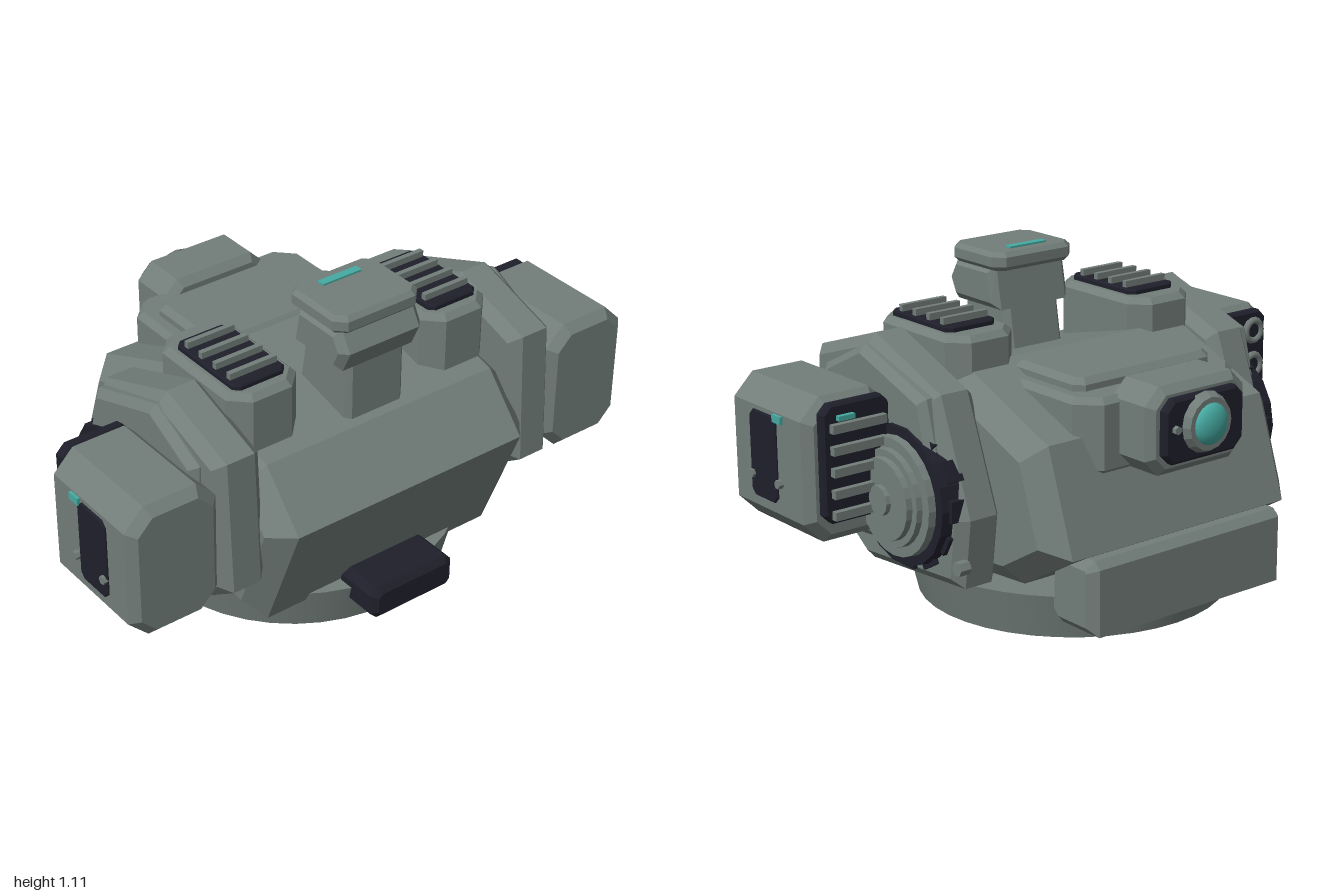
import * as THREE from 'three';

const mat = (name, color) => {
  const m = new THREE.MeshStandardMaterial({ color });
  m.name = name;
  return m;
};

export function createModel() {
  const armor = mat('armorGrey', 0x727d79);
  const dark = mat('darkTrim', 0x1f1f2b);
  const teal = mat('tealGlow', 0x46aaa2);
  const model = new THREE.Group();
  model.name = 'turret';

  const add = (parent, name, geo, material, x = 0, y = 0, z = 0) => {
    const mesh = new THREE.Mesh(geo, material);
    mesh.name = name;
    mesh.position.set(x, y, z);
    parent.add(mesh);
    return mesh;
  };
  const group = (name) => {
    const g = new THREE.Group();
    g.name = name;
    model.add(g);
    return g;
  };
  // bevelled extrusion of a polygon, centred along z
  const slab = (pts, depth, bevel) => {
    const shape = new THREE.Shape(pts.map(([a, b]) => new THREE.Vector2(a, b)));
    const inner = depth - 2 * bevel;
    const geo = new THREE.ExtrudeGeometry(shape, {
      depth: inner, bevelEnabled: bevel > 0, bevelThickness: bevel,
      bevelSize: bevel, bevelOffset: -bevel, bevelSegments: 1,
    });
    return geo.translate(0, 0, -inner / 2);
  };
  // side profile given as [z, y], extruded across x
  const profile = (pts, width, bevel) => slab(pts, width, bevel).rotateY(-Math.PI / 2);
  // box with cut corners; axis is the direction of the octagonal faces
  const chamferBox = (w, h, d, cut, bevel, axis = 'z') => {
    const [a, b, depth] = axis === 'x' ? [d, h, w] : axis === 'y' ? [w, d, h] : [w, h, d];
    const p = a / 2, q = b / 2;
    const geo = slab([[p - cut, -q], [p, -q + cut], [p, q - cut], [p - cut, q],
      [-p + cut, q], [-p, q - cut], [-p, -q + cut], [-p + cut, -q]], depth, bevel);
    if (axis === 'x') geo.rotateY(-Math.PI / 2);
    if (axis === 'y') geo.rotateX(-Math.PI / 2);
    return geo;
  };
  // faceted disc whose axis runs along x or z
  const disc = (r1, r2, len, sides, axis) => {
    const geo = new THREE.CylinderGeometry(r1, r2, len, sides).toNonIndexed();
    geo.computeVertexNormals();
    return axis === 'x' ? geo.rotateZ(-Math.PI / 2) : geo.rotateX(-Math.PI / 2);
  };

  // turntable and main hull
  add(model, 'turntable', new THREE.CylinderGeometry(0.555, 0.52, 0.15, 40), armor, 0, 0.075, 0.02);
  add(model, 'hull', profile([[0.48, 0.12], [0.64, 0.53], [0.48, 0.71], [0, 0.825],
    [-0.4, 0.66], [-0.515, 0.32], [-0.28, 0.18], [0.27, 0.14]], 1.03, 0.07), armor);
  add(model, 'frontBumper', chamferBox(0.33, 0.12, 0.19, 0.025, 0.02), dark, 0, 0.14, 0.57);
  add(model, 'rearBumper', profile([[-0.35, 0.11], [-0.39, 0.07], [-0.565, 0.07],
    [-0.565, 0.29], [-0.54, 0.315], [-0.36, 0.315]], 0.82, 0.03), armor);

  // rear deck and camera
  add(model, 'rearHousing', chamferBox(0.67, 0.25, 0.45, 0.07, 0.02, 'y'), armor, 0, 0.66, -0.225);
  add(model, 'rearHatch', chamferBox(0.57, 0.07, 0.34, 0.03, 0.02, 'y'), armor, 0, 0.79, -0.18);
  const camera = group('rearCamera');
  add(camera, 'cameraHousing', chamferBox(0.41, 0.285, 0.2, 0.055, 0.025), armor, 0, 0.687, -0.49);
  add(camera, 'cameraPlate', chamferBox(0.33, 0.21, 0.04, 0.035, 0.01), dark, 0, 0.69, -0.597);
  add(camera, 'lensRing', disc(0.085, 0.1, 0.03, 16, 'z'), armor, 0, 0.7, -0.627);
  const lens = add(camera, 'lens', new THREE.SphereGeometry(0.068, 20, 8, 0, Math.PI * 2, 0, Math.PI / 2)
    .rotateX(-Math.PI / 2), teal, 0, 0.7, -0.638);
  lens.scale.z = 0.48;
  add(camera, 'cameraBolt', disc(0.014, 0.014, 0.02, 6, 'z'), armor, 0.125, 0.7, -0.622);

  // raised sensor head
  const head = group('sensorHead');
  add(head, 'neck', profile([[0.45, 0.68], [0.45, 0.93], [0.23, 0.95], [0.19, 0.7]], 0.23, 0.02), armor);
  add(head, 'headBlock', profile([[0.45, 0.91], [0.485, 0.985], [0.445, 1.055],
    [0.245, 1.055], [0.22, 0.91]], 0.32, 0.025), armor);
  add(head, 'headCap', chamferBox(0.33, 0.062, 0.27, 0.035, 0.015, 'y'), armor, 0, 1.073, 0.333);
  add(head, 'headLight', new THREE.BoxGeometry(0.15, 0.009, 0.028), teal, 0, 1.106, 0.26);

  for (const s of [1, -1]) {
    const label = s > 0 ? 'left' : 'right';

    // roof vent with slats
    const vent = group(label + 'RoofVent');
    add(vent, 'ventBox', chamferBox(0.265, 0.23, 0.45, 0.06, 0.02, 'y'), armor, s * 0.377, 0.81, 0.195);
    add(vent, 'ventPlate', chamferBox(0.195, 0.03, 0.32, 0.02, 0.005, 'y'), dark, s * 0.38, 0.928, 0.21);
    for (let i = 0; i < 4; i++)
      add(vent, 'ventSlat', new THREE.BoxGeometry(0.175, 0.03, 0.018), armor, s * 0.38, 0.95, 0.1 + i * 0.073);

    // side armor
    const side = group(label + 'SideArmor');
    add(side, 'sidePlate', profile([[0.535, 0.82], [0.23, 0.92], [-0.11, 0.79], [-0.25, 0.42],
      [-0.22, 0.19], [0.27, 0.155], [0.56, 0.36]], 0.17, 0.035), armor, s * 0.58);
    add(side, 'outerPlate', profile([[0.45, 0.78], [0.23, 0.89], [-0.09, 0.78], [-0.18, 0.45],
      [-0.1, 0.28], [0.27, 0.25], [0.45, 0.4]], 0.1, 0.025), armor, s * 0.645);
    add(side, 'sideBolt', disc(0.024, 0.024, 0.04, 6, 'x'), armor, s * 0.655, 0.27, -0.235);

    // shoulder pivot
    const pivot = group(label + 'Pivot');
    const rings = [['pivotTire', 0.24, 0.1, 0.655, dark, 18], ['pivotDisc', 0.205, 0.1, 0.68, armor, 24],
      ['pivotStep', 0.17, 0.1, 0.7, armor, 24], ['pivotFace', 0.145, 0.1, 0.72, armor, 24],
      ['pivotHub', 0.06, 0.1, 0.735, armor, 12]];
    for (const [name, r, len, x, m, sides] of rings) {
      const geo = disc(s > 0 ? r - 0.012 : r, s > 0 ? r : r - 0.012, len, sides, 'x');
      add(pivot, name, geo, m, s * x, 0.45, 0.02);
    }
    // grip blocks around the tire
    for (let i = 0; i < 12; i++) {
      const a = (i / 12) * Math.PI * 2;
      const grip = add(pivot, 'tireGrip', new THREE.BoxGeometry(0.06, 0.02, 0.07), dark,
        s * 0.65, 0.45 + Math.cos(a) * 0.233, 0.02 + Math.sin(a) * 0.233);
      grip.rotation.x = a;
    }

    // weapon pod
    const pod = group(label + 'Pod');
    add(pod, 'podBody', chamferBox(0.325, 0.472, 0.435, 0.07, 0.03), armor, s * 0.82, 0.548, 0.325);
    add(pod, 'podSidePanel', chamferBox(0.02, 0.285, 0.148, 0.02, 0.004, 'x'), dark, s * 0.98, 0.557, 0.345);
    add(pod, 'podSideLight', new THREE.BoxGeometry(0.012, 0.025, 0.047), teal, s * 0.987, 0.697, 0.258);
    for (const z of [0.405, 0.255])
      add(pod, 'podBolt', disc(0.015, 0.015, 0.03, 6, 'x'), armor, s * 0.985, 0.487, z);
    add(pod, 'podRearPlate', chamferBox(0.25, 0.385, 0.04, 0.03, 0.008), dark, s * 0.815, 0.577, 0.097);
    if (s > 0) {
      // cooling slats
      for (let i = 0; i < 5; i++)
        add(pod, 'podSlat', new THREE.BoxGeometry(0.2, 0.028, 0.03), armor, 0.815, 0.415 + i * 0.07, 0.07);
      add(pod, 'podRearLight', new THREE.BoxGeometry(0.06, 0.016, 0.02), teal, 0.86, 0.725, 0.07);
    } else {
      // launch tubes, two columns of three
      for (const x of [-0.875, -0.76]) for (const y of [0.45, 0.575, 0.7]) {
        add(pod, 'tubeRim', new THREE.TorusGeometry(0.036, 0.013, 6, 14), armor, x, y, 0.072);
        add(pod, 'tubeBore', disc(0.034, 0.034, 0.012, 14, 'z'), dark, x, y, 0.075);
      }
    }
  }
  return model;
}
